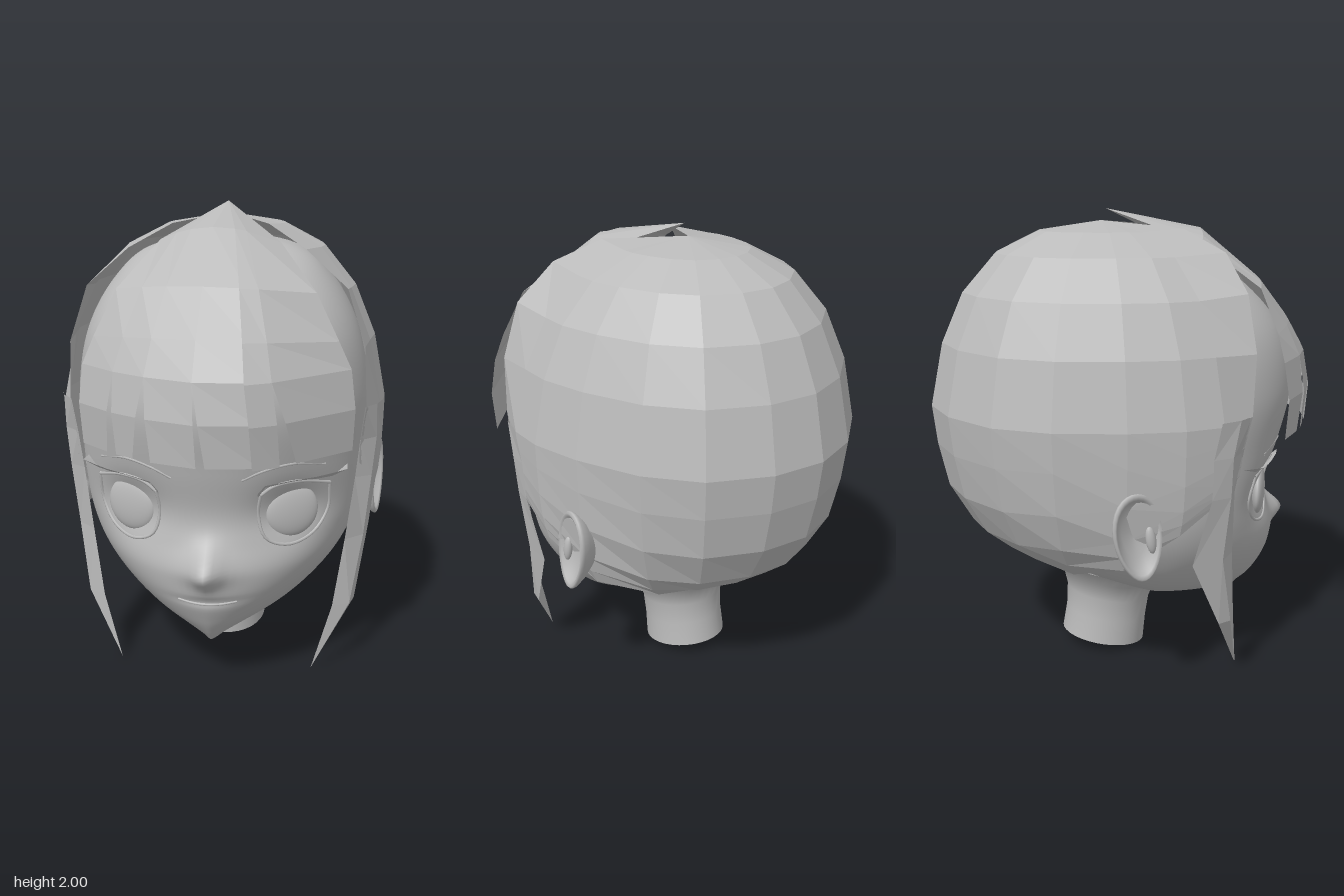
import * as THREE from 'three';

const V = (x, y, z) => new THREE.Vector3(x, y, z);
const lerp = THREE.MathUtils.lerp;

// Surface through rows of points; faceted when flat
function grid(rows, flat) {
  const n = rows[0].length, index = [];
  for (let i = 0; i < rows.length - 1; i++) for (let j = 0; j < n - 1; j++) {
    const a = i * n + j, b = a + n;
    index.push(a, a + 1, b + 1, a, b + 1, b);
  }
  let g = new THREE.BufferGeometry().setFromPoints(rows.flat());
  g.setIndex(index);
  if (flat) g = g.toNonIndexed();
  g.computeVertexNormals();
  return g;
}

// Head rings, chin to crown: front y, front z, back y | back z, half width, roundness
const RINGS = [
  [0.21, 0.535, 0.34, -0.15, 0.19, 1.35], [0.26, 0.575, 0.41, -0.28, 0.32, 1.5],
  [0.33, 0.62, 0.47, -0.39, 0.42, 1.65], [0.44, 0.67, 0.53, -0.47, 0.50, 1.75],
  [0.55, 0.675, 0.62, -0.57, 0.56, 1.85], [0.68, 0.645, 0.70, -0.66, 0.60, 1.95],
  [0.81, 0.635, 0.81, -0.73, 0.62, 2], [1.0, 0.68, 1.0, -0.78, 0.63, 2],
  [1.25, 0.73, 1.25, -0.79, 0.63, 2.05], [1.5, 0.66, 1.5, -0.72, 0.575, 2.2],
  [1.7, 0.48, 1.7, -0.57, 0.46, 2.2], [1.82, 0.25, 1.82, -0.42, 0.31, 2.1], [1.87, 0.05, 1.87, -0.1, 0.02, 2],
];
const curveA = new THREE.CatmullRomCurve3(RINGS.map(r => V(r[0], r[1], r[2])), false, 'catmullrom');
const curveB = new THREE.CatmullRomCurve3(RINGS.map(r => V(r[3], r[4], r[5])), false, 'catmullrom');
const ZC = 0.05;

// Pointed nose, eye sockets and the dip of the mouth
function relief(x, y) {
  const bell = (d, s) => Math.exp(-((d / s) ** 2));
  return 0.1 / (1 + (x / 0.055) ** 2) * bell(y - 0.585, y > 0.585 ? 0.09 : 0.065)
    - 0.055 * bell(Math.abs(x) - 0.33, 0.13) * bell(y - 0.8, 0.12)
    - 0.012 * bell(x, 0.13) * bell(y - 0.44, 0.018);
}

// Depth of the face at a point seen from the front
function faceZ(x, y) {
  let lo = 0, hi = 1;
  for (let i = 0; i < 30; i++) {
    const m = (lo + hi) / 2;
    if (curveA.getPoint(m).x < y) lo = m; else hi = m;
  }
  const a = curveA.getPoint(lo), b = curveB.getPoint(lo);
  const k = Math.max(0, 1 - Math.min(1, Math.abs(x) / b.y) ** b.z);
  return ZC + (a.y - ZC) * k ** (1 / b.z) + relief(x, y);
}

function headGeometry() {
  const rows = [], N = 96, M = 90;
  rows.push(Array.from({ length: N + 1 }, () => V(0, 0.29, 0.1)));
  for (let i = 0; i <= M; i++) {
    const a = curveA.getPoint(i / M), b = curveB.getPoint(i / M), row = [];
    for (let j = 0; j <= N; j++) {
      const t = Math.PI + (j / N) * Math.PI * 2, s = Math.sin(t), c = Math.cos(t);
      const x = Math.sign(s) * b.y * Math.abs(s) ** (2 / b.z);
      let z = ZC + (c > 0 ? a.y - ZC : ZC - b.x) * Math.sign(c) * Math.abs(c) ** (2 / b.z);
      const y = lerp(a.x, a.z, (a.y - z) / (a.y - b.x));
      if (c > 0) z += relief(x, y);
      row.push(V(x, y, z));
    }
    rows.push(row);
  }
  return grid(rows);
}

// Tilted neck, open below and flared on top
function neckGeometry() {
  const rings = [[0.038, -0.12, 0.176], [0.15, -0.105, 0.172],
    [0.25, -0.095, 0.177], [0.33, -0.09, 0.2], [0.40, -0.09, 0.27]];
  return grid(rings.map(([y, z, r]) => Array.from({ length: 33 }, (_, j) => {
    const t = (j / 32) * Math.PI * 2;
    return V(r * Math.sin(t), y - 0.2 * r * Math.cos(t), z + r * 1.08 * Math.cos(t));
  })));
}

// Faceted back hair: outline columns swept down from the crown
function backHairGeometry() {
  // x, z, lowest y, how far the hem tucks in
  const half = [[0.68, 0.215, 0.86, 0.06], [0.705, 0.05, 0.74, 0.1], [0.68, -0.18, 0.58, 0.25],
    [0.6, -0.46, 0.5, 0.65], [0.46, -0.675, 0.48, 0.92], [0.23, -0.82, 0.48, 1]];
  const cols = [...half, [0, -0.87, 0.48, 1], ...half.map(([x, ...r]) => [-x, ...r]).reverse()];
  const profile = [[1.95, 0], [1.91, 0.36], [1.82, 0.61], [1.66, 0.8], [1.45, 0.925], [1.18, 1],
    [1.01, 0.975], [0.82, 0.92], [0.65, 0.79], [0.557, 0.64], [0.48, 0.45]];
  const edge = [[0, 1.95, -0.12], [0.2, 1.92, 0.19], [0.36, 1.83, 0.32], [0.53, 1.68, 0.355], [0.605, 1.45, 0.37],
    [0.62, 1.2, 0.355], [0.61, 1.12, 0.34], [0.605, 1.07, 0.33], [0.6, 1.03, 0.325], [0.6, 0.99, 0.32], [0.6, 0.95, 0.315]];
  return grid(profile.map(([y, s], i) => {
    const row = cols.map(([x, z, low, tuck]) => {
      const k = y < 1.18 ? 1 - (1 - s) * tuck : s;
      const yy = y < 1.18 ? 1.18 - (1.18 - y) * (1.18 - low) / 0.7 : y;
      return V(x * k, yy, -0.12 + (z + 0.12) * k);
    });
    const [ex, ey, ez] = edge[i];
    return [V(ex, ey, ez), ...row, V(-ex, ey, ez)];
  }), true);
}

// One fringe strand: x range at the slit tops and at the hem
function strandGeometry([t0, t1, b0, b1, lift]) {
  const outline = [[-0.6, 0.48], [-0.53, 0.55], [-0.37, 0.69], [-0.2, 0.79], [-0.05, 0.845], [0.15, 0.86], [0.28, 0.79], [0.57, 0.525], [0.62, 0.47]];
  const depth = x => {
    const i = Math.max(1, outline.findIndex(p => p[0] >= x));
    const [a, b] = [outline[i - 1], outline[i]];
    return lerp(a[1], b[1], (x - a[0]) / (b[0] - a[0]));
  };
  // y, scale, droop and forward swell at the sides, slit progress
  const rows = [[2.0, 0, 0, 0, 0], [1.915, 0.45, 0.06, 0.07, 0], [1.71, 0.72, 0.03, 0.11, 0], [1.53, 0.88, 0.03, 0.05, 0],
    [1.39, 0.97, 0, 0, 0], [1.235, 1, 0, 0, 0.5], [1.065, 0.985, 0, 0, 1]];
  return grid(rows.map(([y, s, droop, swell, k]) => [0, 1].map(j => {
    const x = lerp(j ? t1 : t0, j ? b1 : b0, k), side = (x / 0.55) ** 2;
    return V(x * s, y - droop * side, -0.1 + (depth(x) + 0.1) * s * lift + swell * side);
  })), true);
}

// Long lock in front of the ear: front edge, crease, back edge
function lockGeometry(m) {
  const rows = [
    [[0.615, 1.2, 0.355], [0.665, 1.2, 0.29], [0.695, 1.2, 0.2]],
    [[0.6, 1.05, 0.325], [0.67, 1.05, 0.26], [0.69, 1.05, 0.17]],
    [[0.585, 0.88, 0.3], [0.655, 0.88, 0.26], [0.68, 0.88, 0.17]],
    [[0.55, 0.6, 0.31], [0.63, 0.6, 0.24], [0.655, 0.6, 0.1]],
    [[0.505, 0.3, 0.34], [0.58, 0.3, 0.3], [0.6, 0.3, 0.24]],
    [[0.42, 0.02, 0.388], [0.42, 0.02, 0.386], [0.42, 0.02, 0.384]]];
  return grid(rows.map(r => r.map(([x, y, z]) => V(m * x, y, z))), true);
}

// Cupped ear: egg-shaped rings from the root over the rim into the bowl
function earGeometry(m) {
  const rings = [[0.5, -0.075], [0.85, -0.025], [0.98, 0.005], [1, 0.018], [0.95, 0.026], [0.86, 0.02], [0.78, 0.002], [0.5, -0.02], [0, -0.026]];
  return grid(rings.map(([s, out]) => Array.from({ length: 33 }, (_, j) => {
    const t = (j / 32) * Math.PI * 2, y = Math.sin(t);
    return V(m * out, 0.185 * s * y, 0.108 * s * Math.cos(t) * (1 + 0.15 * y));
  })));
}

export function createModel() {
  const grey = new THREE.MeshStandardMaterial({ color: 0xbbbbbb, side: THREE.DoubleSide });
  grey.name = 'plain grey';
  const model = new THREE.Group();
  const add = (name, geometry, parent = model) => {
    const mesh = new THREE.Mesh(geometry, grey);
    mesh.name = name;
    parent.add(mesh);
    return mesh;
  };
  // Thin line lying on the face
  const line = (name, pts, r, m = 1) => add(name, new THREE.TubeGeometry(new THREE.CatmullRomCurve3(
    pts.map(([x, y, out = 0]) => V(m * x, y, faceZ(x, y) + out))), 28, r, 6));

  add('head', headGeometry());
  add('neck', neckGeometry());
  add('backHair', backHairGeometry());
  line('mouth', [[-0.12, 0.44], [-0.06, 0.432], [0, 0.43], [0.06, 0.432], [0.12, 0.44]], 0.006);

  const strands = [[-0.53, -0.37, -0.525, -0.4, 1], [-0.37, -0.23, -0.355, -0.28, 1], [-0.23, -0.03, -0.2, -0.015, 1],
    [-0.03, 0.2, 0.02, 0.23, 1], [0.17, 0.27, 0.2, 0.3, 1.02], [0.27, 0.57, 0.36, 0.575, 1.02]];
  strands.forEach((s, i) => add('fringeStrand' + (i + 1), strandGeometry(s)));

  for (const [side, m] of [['left', 1], ['right', -1]]) {
    add(side + 'Lock', lockGeometry(m));

    // Eye disc, lids, lashes and brow
    const eye = add(side + 'Eye', new THREE.SphereGeometry(1, 32, 20));
    eye.scale.set(0.115, 0.113, 0.03);
    eye.rotation.y = m * 0.42;
    eye.position.set(m * 0.33, 0.8, faceZ(0.33, 0.8) + 0.02);
    line(side + 'LowerLid', [[0.48, 0.9], [0.475, 0.78], [0.42, 0.69], [0.32, 0.66], [0.23, 0.7], [0.2, 0.8], [0.21, 0.89]], 0.007, m);
    line(side + 'UpperLid', [[0.21, 0.89], [0.26, 0.925], [0.36, 0.935], [0.48, 0.9]], 0.008, m);
    const lash = [[0.2, 0.88, 0.9, 0.01], [0.23, 0.925, 0.94, 0.02], [0.33, 0.935, 0.95, 0.025], [0.43, 0.93, 0.95, 0.03], [0.49, 0.925, 0.955, 0.05], [0.55, 0.955, 0.96, 0.09]];
    add(side + 'Lashes', grid([1, 2].map(k => lash.map(p => V(m * p[0], p[k], faceZ(p[0], p[k]) + (k === 1 ? 0.002 : p[3]))))));
    line(side + 'Brow', [[0.14, 0.965, -0.003], [0.22, 1.0, -0.002], [0.33, 1.02, -0.002], [0.46, 0.99, -0.003]], 0.006, m);

    // Ear flaring outward at the back
    const ear = new THREE.Group();
    ear.name = side + 'Ear';
    ear.position.set(m * 0.675, 0.755, -0.14);
    ear.rotation.set(-0.15, -m * 0.25, 0);
    add('earShell', earGeometry(m), ear);
    add('earFold', new THREE.SphereGeometry(1, 16, 12).scale(0.018, 0.06, 0.022), ear).position.set(0, -0.03, 0.06);
    model.add(ear);
  }
  return model;
}
